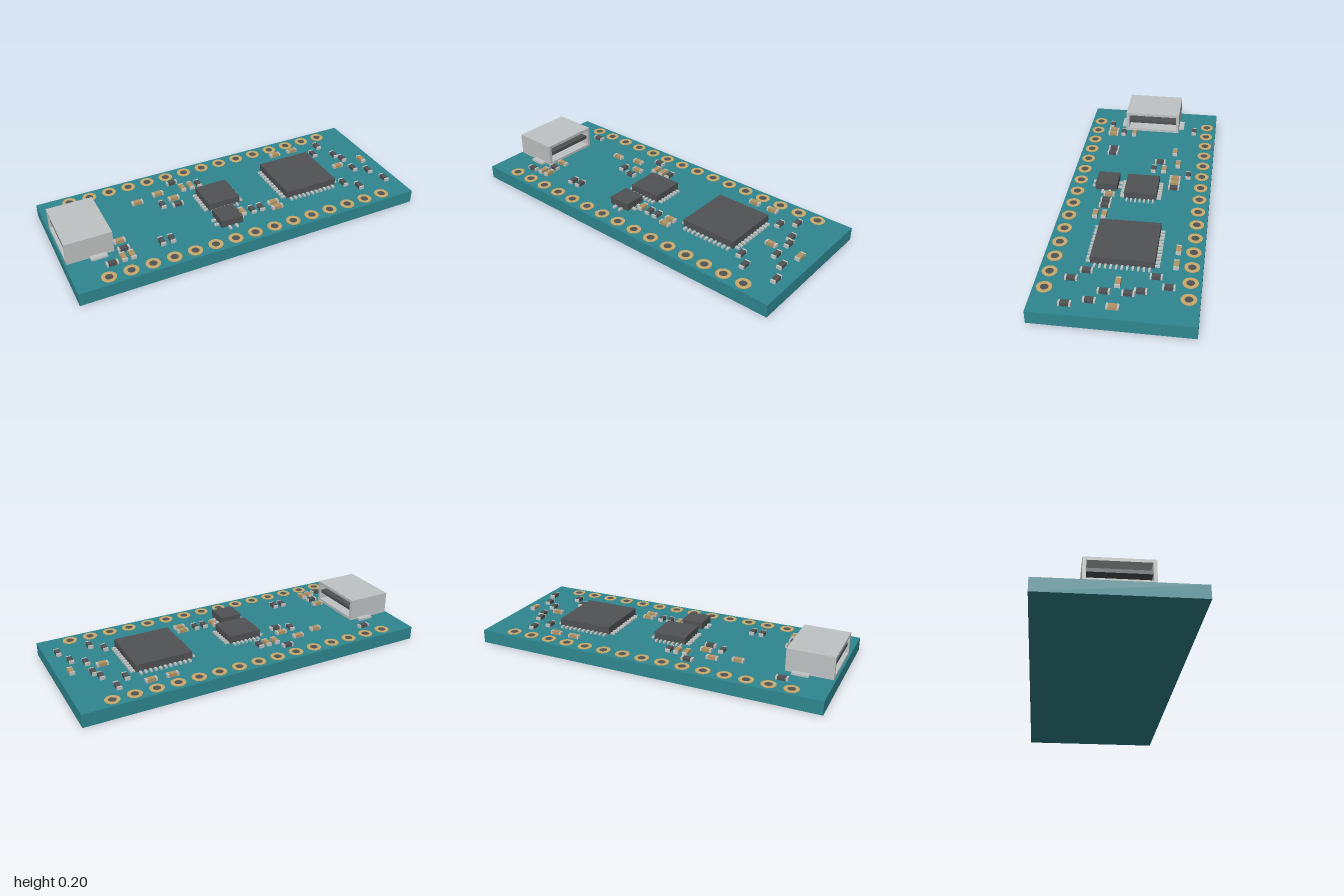
import * as THREE from 'three';

const material = (name, color) => new THREE.MeshStandardMaterial({ name, color });

export function createModel() {
  const group = new THREE.Group();
  group.name = 'circuitBoard';
  const teal = material('board teal', 0x2f8790);
  const dark = material('chip grey', 0x505255);
  const silver = material('lead silver', 0xc2c4c2);
  const shellMetal = material('connector metal', 0xc0c3c3);
  const gold = material('pad gold', 0xc9aa6c);
  const tan = material('capacitor tan', 0xb39566);
  const TOP = 0.075;

  const add = (parent, name, geometry, mat, x = 0, y = 0, z = 0) => {
    const mesh = new THREE.Mesh(geometry, mat);
    mesh.name = name;
    mesh.position.set(x, y, z);
    parent.add(mesh);
    return mesh;
  };
  // box standing on height y
  const box = (parent, name, mat, w, h, d, x, y, z) =>
    add(parent, name, new THREE.BoxGeometry(w, h, d), mat, x, y + h / 2, z);
  const subgroup = (name, x, z) => {
    const g = new THREE.Group();
    g.name = name;
    g.position.set(x, TOP, z);
    group.add(g);
    return g;
  };

  box(group, 'board', teal, 2, TOP, 0.82, 0, 0, 0);

  // two rows of plated holes
  const ring = new THREE.Shape().absarc(0, 0, 0.04, 0, Math.PI * 2);
  ring.holes.push(new THREE.Path().absarc(0, 0, 0.021, 0, Math.PI * 2, true));
  const ringGeometry = new THREE.ExtrudeGeometry(ring, { depth: 0.003, bevelEnabled: false, curveSegments: 12 });
  ringGeometry.rotateX(-Math.PI / 2);
  const holeGeometry = new THREE.CylinderGeometry(0.021, 0.021, 0.002, 24);
  for (const z of [-0.353, 0.353]) {
    for (let i = 0; i < 15; i++) {
      const x = (i - 7) * 0.1177;
      add(group, 'pad', ringGeometry, gold, x, TOP, z);
      add(group, 'padHole', holeGeometry, dark, x, TOP + 0.001, z);
    }
  }

  // chips with leads on all four sides
  function chip(name, x, z, w, d, pins, pitch, leadWidth, marker) {
    const g = subgroup(name, x, z);
    box(g, 'chipBody', dark, w, 0.042, d, 0, 0.006, 0);
    for (let i = 0; i < pins; i++) {
      const t = (i - (pins - 1) / 2) * pitch;
      for (const s of [-1, 1]) {
        box(g, 'lead', silver, 0.035, 0.011, leadWidth, s * (w / 2 + 0.0075), 0, t);
        box(g, 'lead', silver, leadWidth, 0.011, 0.035, t, 0, s * (d / 2 + 0.0075));
      }
    }
    if (marker) {
      add(g, 'cornerDot', new THREE.CylinderGeometry(0.011, 0.011, 0.003, 20), dark,
        -w / 2 + 0.035, 0.049, -d / 2 + 0.035);
    }
  }
  chip('mainChip', 0.466, -0.002, 0.322, 0.33, 11, 0.028, 0.012, true);
  chip('interfaceChip', -0.051, -0.018, 0.19, 0.186, 7, 0.025, 0.01, true);
  chip('regulatorChip', -0.086, 0.186, 0.126, 0.126, 2, 0.04, 0.014, false);

  // small two-ended components
  function passives(name, mat, upright, spots) {
    for (const [x, z] of spots) {
      const g = subgroup(name, x, z);
      box(g, 'body', mat, 0.044, 0.019, 0.028, 0, 0, 0);
      for (const s of [-1, 1]) box(g, 'endCap', silver, 0.01, 0.018, 0.028, s * 0.027, 0, 0);
      if (upright) g.rotation.y = Math.PI / 2;
    }
  }
  passives('resistor', dark, false, [
    [-0.75, -0.273], [-0.23, -0.273], [-0.278, -0.06], [-0.778, 0.267], [-0.686, 0.18],
  ]);
  passives('capacitor', tan, false, [
    [-0.48, -0.172], [-0.344, -0.203], [-0.278, -0.123], [-0.686, 0.111], [0.214, 0.16],
    [0.214, 0.209], [0.469, -0.275], [0.587, -0.273], [0.754, 0],
  ]);
  passives('capacitor', tan, true, [
    [-0.193, -0.198], [-0.14, -0.198], [-0.711, 0.246], [-0.663, 0.246], [0.016, 0.164], [0.925, 0],
  ]);
  passives('resistor', dark, true, [
    [-0.092, -0.198], [-0.36, -0.092], [-0.486, 0.213], [-0.43, 0.213], [0.075, 0.171],
    [0.128, 0.171], [0.759, -0.251], [0.69, -0.182], [0.802, -0.118], [0.824, -0.06],
    [0.824, 0.06], [0.893, 0.118], [0.684, 0.169], [0.749, 0.235], [0.93, 0.23],
  ]);

  // connector: open rectangular sleeve with an inner tongue and side tabs
  const socket = subgroup('connector', -0.862, -0.001);
  const sleeve = (w, y0, y1) => [[-w, y0], [w, y0], [w, y1], [-w, y1]].map(p => new THREE.Vector2(...p));
  const section = new THREE.Shape(sleeve(0.171, 0, 0.127));
  section.holes.push(new THREE.Path(sleeve(0.153, 0.016, 0.11).reverse()));
  const shell = new THREE.ExtrudeGeometry(section, { depth: 0.255, bevelEnabled: false });
  shell.translate(0, 0, -0.1275).rotateY(Math.PI / 2);
  add(socket, 'connectorShell', shell, shellMetal);
  box(socket, 'tongue', dark, 0.235, 0.02, 0.306, 0, 0.054, 0);
  for (let i = -2; i <= 2; i++) {
    box(socket, 'contact', dark, 0.2, 0.003, 0.011, 0, 0.074, i * 0.02);
  }
  for (const s of [-1, 1]) box(socket, 'mountingTab', shellMetal, 0.09, 0.012, 0.036, 0.04, 0, s * 0.185);

  return group;
}
